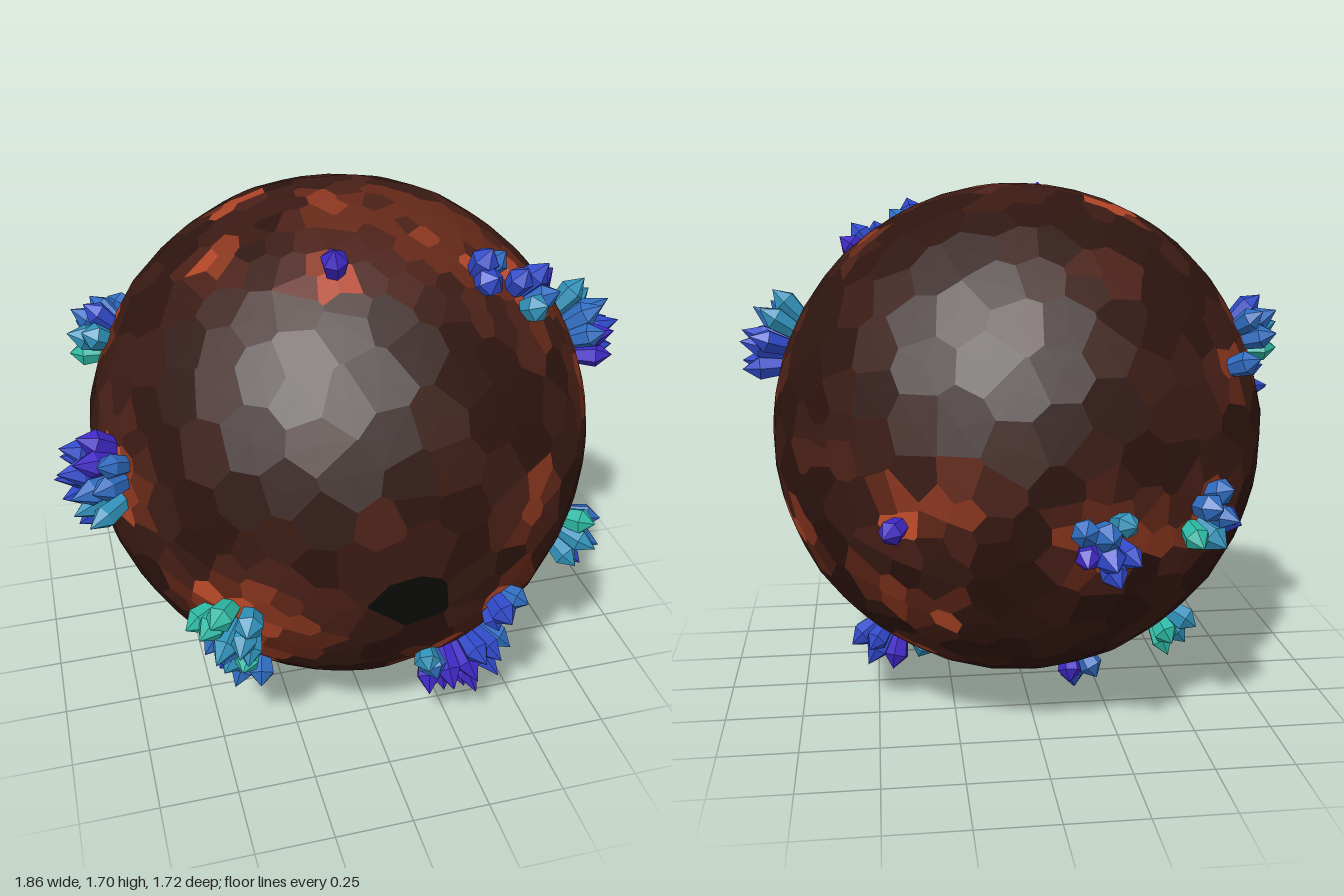
import * as THREE from 'three';
import { ConvexGeometry } from 'three/addons/geometries/ConvexGeometry.js';

const R = 0.813;
const CENTRE = new THREE.Vector3(0.01, 0.905, 0.055);
const V = (x, y, z) => new THREE.Vector3(x, y, z);

// Small seeded random generator
let state = 7;
const rand = () => {
  state = (state * 1664525 + 1013904223) >>> 0;
  return state / 4294967296;
};

// Crystal clusters: x, y, z, number of crystals, main tone (0 violet .. 4 teal)
const CLUSTERS = [
  [0.77, 1.2, 0.15, 12, 1], [0.69, 0.65, 0.51, 7, 2], [0.33, 0.63, 0.76, 3, 1],
  [-0.47, 0.65, 0.66, 9, 3], [-0.41, 0.41, 0.54, 5, 2], [-0.46, 0.28, -0.22, 5, 3],
  [-0.18, 0.11, -0.11, 4, 1], [0.29, 0.3, 0.57, 14, 0], [0.48, 0.25, -0.13, 6, 1],
  [0.33, 0.14, 0.07, 1, 3], [0.35, 0.24, 0.42, 1, 0], [0.14, 0.41, 0.7, 2, 2],
  [0.35, 1.57, 0.41, 3, 1], [0.5, 1.49, 0.4, 5, 1], [-0.1, 1.62, 0.42, 1, 0],
  [0.43, 0.78, -0.64, 1, 0], [-0.16, 0.74, -0.74, 7, 1], [-0.5, 0.76, -0.61, 6, 2],
  [-0.6, 1.18, -0.41, 1, 2], [-0.73, 1.25, -0.13, 7, 2], [-0.78, 0.99, 0.31, 13, 1],
];
const CRYSTAL_COLORS = [0x3f27c4, 0x2f48c8, 0x2f6cc0, 0x3090b8, 0x2cb8a4];
const TONE_SHIFTS = [0, 1, 0, -1, 2];

// Broad warm patches: direction, radius, heat
const PATCHES = [
  [0.76, 0.2, 0.16, 0.36, 1.1], [-0.42, -0.25, 0.62, 0.32, 0.95], [0.3, 0.72, 0.25, 0.36, 0.6],
  [0, 0.8, 0.1, 0.32, 0.5], [0.5, 0.6, 0.32, 0.26, 0.75], [0.5, 0.6, -0.1, 0.15, 0.5],
  [-0.2, 0.58, -0.53, 0.1, 0.3], [0, 0.08, 0.81, 0.12, 0.3], [0.64, 0.08, -0.5, 0.12, 0.35],
];
// Directions of the small glowing spots
const SPOTS = [
  [-0.31, 0.75, -0.15], [-0.38, 0.7, 0.12], [0.47, -0.37, -0.57], [0.31, -0.42, -0.63],
  [0.25, -0.06, -0.77], [0.77, -0.23, -0.12], [0.71, -0.26, -0.29], [0.35, -0.64, -0.35],
  [-0.37, -0.18, -0.71], [0.4, 0.05, 0.7],
];
const CRUST_COLORS = [0x2e140f, 0x3a1a13, 0x4a2017, 0x642818, 0x8a361f, 0xb04427, 0xc9512e];
const DARK_CELL_COLOR = 0x0b0c09;

const hotSpots = [
  ...PATCHES.map(([x, y, z, radius, heat]) => ({ dir: V(x, y, z).normalize(), radius: radius / R, heat })),
  ...SPOTS.map(([x, y, z]) => ({ dir: V(x, y, z).normalize(), radius: 0.13 / R, heat: 0.85 })),
  ...CLUSTERS.map(([x, y, z, n]) => ({
    dir: V(x, y, z).sub(CENTRE).normalize(), radius: (0.12 + 0.008 * n) / R, heat: 0.95,
  })),
];
const heatAt = (p) => hotSpots.reduce((h, s) =>
  Math.max(h, s.heat * Math.min(1, 1.6 * (1 - p.distanceTo(s.dir) / s.radius))), 0);

// Cell centres on the unit sphere, packed more tightly where the crust glows
function crustSeeds() {
  const seeds = [V(0, -0.13, 0.8).normalize()];
  const N = 6000;
  for (let k = 0; k < N; k++) {
    const i = (k * 2477) % N;
    const y = 1 - (2 * (i + rand())) / N;
    const a = i * 2.399963 + rand() * 0.02, r = Math.sqrt(1 - y * y);
    const p = V(r * Math.cos(a), y, r * Math.sin(a));
    const gap = heatAt(p) > 0.12 ? 0.065 : 0.135;
    // the first seed is the wide dark cell
    if (seeds.every((s, j) => p.distanceTo(s) > (j ? gap : 0.2))) seeds.push(p);
  }
  return seeds;
}

// Flat polygonal cells: the dual of the hull through the seeds
function buildCrust() {
  const seeds = crustSeeds();
  const key = (p) => `${p.x.toFixed(4)},${p.y.toFixed(4)},${p.z.toFixed(4)}`;
  const corners = new Map(seeds.map((s) => [key(s), []]));
  const pos = new ConvexGeometry(seeds).getAttribute('position');
  const keyOf = new Map(seeds.map((s) => [key(V(...s.toArray().map(Math.fround))), key(s)]));
  for (let i = 0; i < pos.count; i += 3) {
    const tri = [0, 1, 2].map((j) => V().fromBufferAttribute(pos, i + j));
    const n = V().crossVectors(tri[1].clone().sub(tri[0]), tri[2].clone().sub(tri[0])).normalize();
    const corner = n.clone().multiplyScalar(R / n.dot(tri[0]));
    tri.forEach((p) => corners.get(keyOf.get(key(p))).push(corner));
  }
  const colors = [...CRUST_COLORS, DARK_CELL_COLOR];
  const buckets = colors.map(() => []);
  seeds.forEach((s, index) => {
    const u = V(0.31, 0.87, 0.4).cross(s).normalize(), v = s.clone().cross(u);
    const ring = corners.get(key(s));
    const mid = s.clone().multiplyScalar(R);
    const angle = (c) => Math.atan2(c.dot(v), c.dot(u));
    ring.sort((a, b) => angle(a) - angle(b));
    const tone = heatAt(s) * (0.55 + 0.5 * rand()) * 6 + rand() * 1.5;
    const bucket = index ? Math.min(6, Math.floor(tone)) : 7;
    ring.forEach((c, i) => {
      for (const p of [mid, c, ring[(i + 1) % ring.length]]) buckets[bucket].push(p.x, p.y, p.z);
    });
  });
  const crust = new THREE.Group();
  crust.name = 'crust';
  buckets.forEach((points, i) => {
    const geo = new THREE.BufferGeometry();
    geo.setAttribute('position', new THREE.Float32BufferAttribute(points, 3));
    geo.computeVertexNormals();
    const mesh = new THREE.Mesh(geo, new THREE.MeshStandardMaterial({ color: colors[i], flatShading: true }));
    mesh.name = i < 7 ? `crustTone${i + 1}` : 'darkCell';
    crust.add(mesh);
  });
  return crust;
}

export function createModel() {
  state = 7;
  const model = new THREE.Group();
  model.name = 'crystalPlanet';
  const body = new THREE.Group();
  body.name = 'planet';
  body.position.copy(CENTRE);
  body.add(buildCrust());
  model.add(body);

  // Six-sided crystal, narrow at the root and pointed at the tip
  const crystalGeo = new THREE.LatheGeometry(
    [[0, -0.25], [0.62, -0.2], [1, 0.6], [0, 1]].map(([x, y]) => new THREE.Vector2(x, y)), 6);
  const materials = CRYSTAL_COLORS.map((color) => new THREE.MeshStandardMaterial({ color, flatShading: true }));
  const up = V(0, 1, 0);

  CLUSTERS.forEach(([x, y, z, count, tone]) => {
    const cluster = new THREE.Group();
    cluster.name = 'crystalCluster';
    const normal = V(x, y, z).sub(CENTRE).normalize();
    cluster.position.copy(normal).multiplyScalar(R - 0.01);
    cluster.quaternion.setFromUnitVectors(up, normal);
    const spread = 0.03 * Math.sqrt(count - 1);
    const length = 0.09 + 0.006 * count;
    for (let i = 0; i < count; i++) {
      // sunflower layout, the outer crystals shorter and leaning outward
      const t = count > 1 ? Math.sqrt((i + 0.3) / count) : 0;
      const a = i * 2.4 + x * 9, r = t * spread;
      const shade = THREE.MathUtils.clamp(tone + TONE_SHIFTS[i % 5], 0, 4);
      const crystal = new THREE.Mesh(crystalGeo, materials[shade]);
      crystal.name = 'crystal';
      crystal.position.set(r * Math.cos(a), -r * r * 0.6, r * Math.sin(a));
      const lean = V(Math.cos(a) * t * 0.55, 1, Math.sin(a) * t * 0.55).normalize();
      crystal.quaternion.setFromUnitVectors(up, lean);
      const w = 0.041 * (0.9 + 0.2 * rand());
      crystal.scale.set(w, length * (1.08 - 0.35 * t + 0.12 * rand()), w);
      cluster.add(crystal);
    }
    body.add(cluster);
  });
  return model;
}
